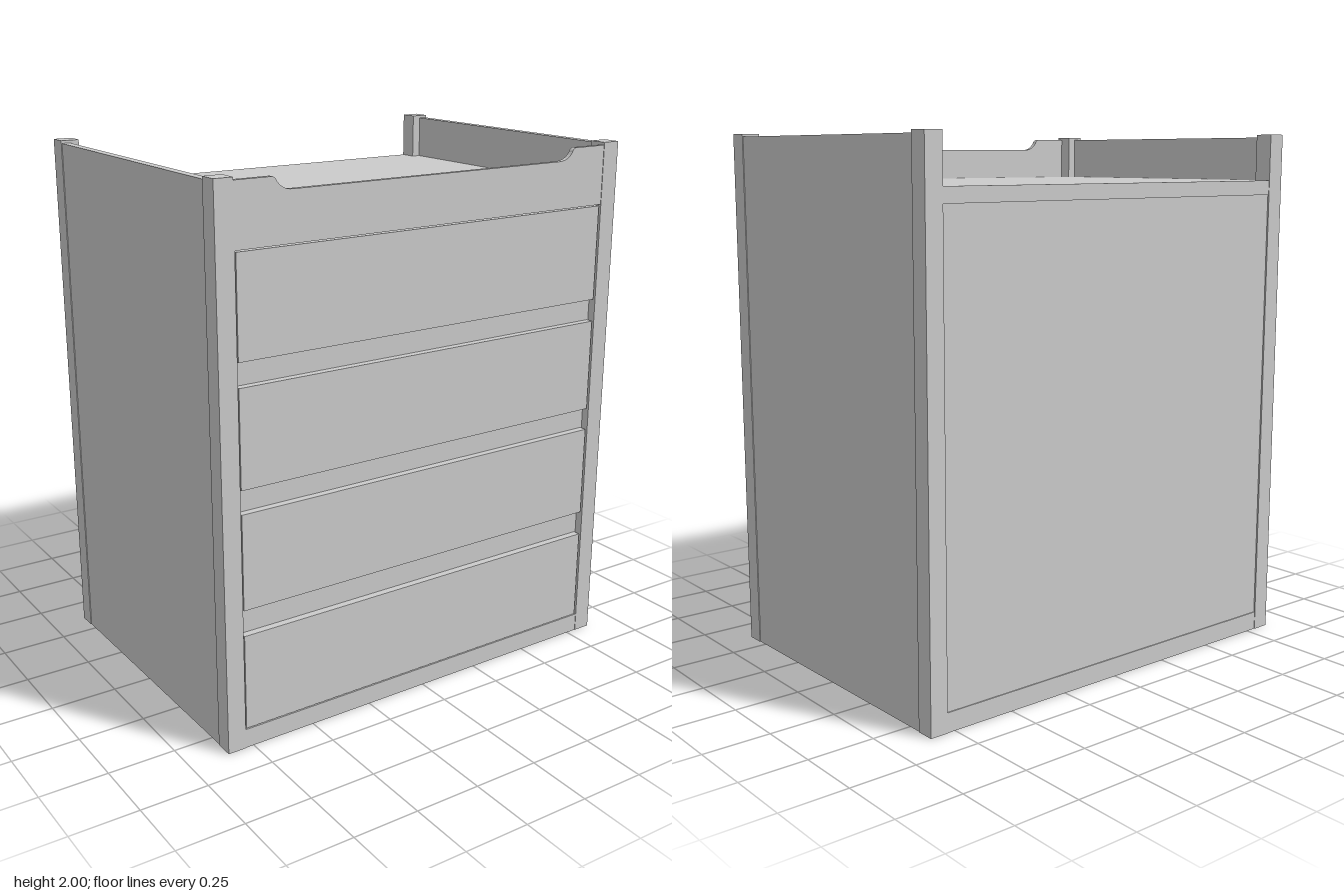
import * as THREE from 'three';

const W = 0.8575, D = 0.6175; // half width and half depth
const POST = 0.07, DECK = 1.825, RAIL = 1.77, BASE = 0.072, TOP = 1.99;

export function createModel() {
  const group = new THREE.Group();
  const material = new THREE.MeshStandardMaterial({ color: 0xcccccc, flatShading: true });

  const add = (name, geometry) => {
    const mesh = new THREE.Mesh(geometry, material);
    mesh.name = name;
    group.add(mesh);
    return mesh;
  };
  // Box given by its two opposite corners
  const box = (name, x0, x1, y0, y1, z0, z1) =>
    add(name, new THREE.BoxGeometry(x1 - x0, y1 - y0, z1 - z0))
      .position.set((x0 + x1) / 2, (y0 + y1) / 2, (z0 + z1) / 2);

  const inX = W - POST, inZ = D - POST;

  // Corner posts
  for (const sx of [-1, 1]) for (const sz of [-1, 1]) {
    const cx = sx * (W - POST / 2), cz = sz * (D - POST / 2);
    box('cornerPost', cx - POST / 2, cx + POST / 2, 0, 2, cz - POST / 2, cz + POST / 2);
  }

  // Side panels, rising above the deck
  for (const s of [-1, 1]) {
    const a = s * (W - 0.003), b = s * (W - 0.035);
    box('sidePanel', Math.min(a, b), Math.max(a, b), 0, TOP, -inZ, inZ);
  }

  // Carcass core, recessed behind the drawers, back and underside
  box('carcass', -W + 0.034, W - 0.034, 0.006, RAIL, -D + 0.006, D - 0.032);
  box('deck', -W + 0.034, W - 0.034, RAIL, DECK, -D + 0.002, D - 0.02);

  // Bottom rails
  box('frontBaseRail', -inX, inX, 0, BASE, D - 0.035, D - 0.002);
  box('backBaseRail', -inX, inX, 0, BASE, -D + 0.002, -D + 0.035);

  // Four drawer fronts with recessed gaps between them
  const gap = 0.006;
  for (const [y0, y1] of [[0.072, 0.432], [0.525, 0.88], [0.963, 1.32], [1.403, 1.765]]) {
    box('drawerFront', -inX + gap, inX - gap, y0 + 0.003, y1, D - 0.04, D - 0.004);
  }

  // Front apron with a scooped top edge
  const s = new THREE.Shape();
  s.moveTo(-inX, RAIL);
  s.lineTo(inX, RAIL);
  s.lineTo(inX, TOP);
  s.lineTo(0.645, TOP);
  s.quadraticCurveTo(0.633, 1.985, 0.63, 1.975);
  s.quadraticCurveTo(0.61, 1.945, 0.57, 1.945);
  s.lineTo(-0.57, 1.945);
  s.quadraticCurveTo(-0.61, 1.945, -0.63, 1.975);
  s.quadraticCurveTo(-0.633, 1.985, -0.645, TOP);
  s.lineTo(-inX, TOP);
  s.closePath();
  add('frontApron', new THREE.ExtrudeGeometry(s, { depth: 0.019, bevelEnabled: false, curveSegments: 6 }))
    .position.z = D - 0.021;

  // The cabinet stands turned by a hair
  group.rotation.y = 0.009;
  return group;
}
